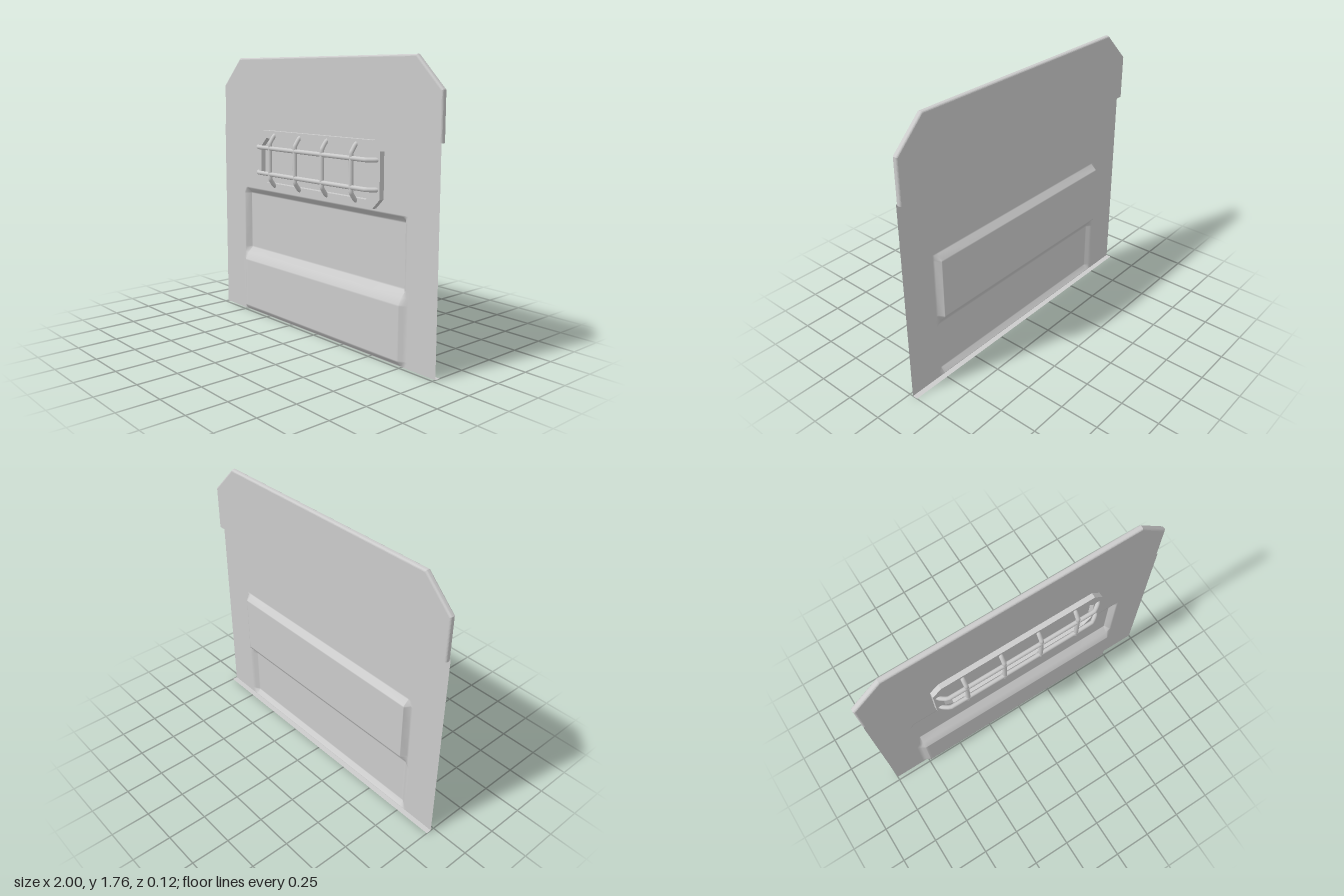
import * as THREE from 'three';

const material = new THREE.MeshStandardMaterial({ color: 0xcccccc });
const sheetMaterial = new THREE.MeshStandardMaterial({ color: 0xcccccc, side: THREE.DoubleSide });
const FRONT = -0.025; // plane of the flat sheet
const BACK = -0.06;

function addMesh(parent, name, geometry, mat = material) {
  const mesh = new THREE.Mesh(geometry, mat);
  mesh.name = name;
  parent.add(mesh);
  return mesh;
}

// Linear ramp from 0 at a to 1 at b
const ramp = (v, a, b) => THREE.MathUtils.clamp((v - a) / (b - a), 0, 1);

// Depth of the pressed sheet: a recess above, a raised field below
function sheetDepth(x, y) {
  const ax = Math.abs(x);
  const recess = Math.min(ramp(ax, 0.76, 0.74), ramp(y, 0.41, 0.445), ramp(y, 0.87, 0.84));
  const raised = Math.min(ramp(ax, 0.775, 0.735), ramp(y, 0.41, 0.37), ramp(y, 0.005, 0.03));
  return FRONT + recess * (BACK - FRONT) + raised * 0.025;
}

// Grid whose lines follow the creases of the pressing
function sheetGeometry() {
  const half = [0.25, 0.5, 0.72, 0.735, 0.74, 0.76, 0.775, 0.79, 1];
  const xs = [...half.map(v => -v).reverse(), 0, ...half];
  const ys = [0, 0.005, 0.03, 0.04, 0.2, 0.36, 0.37, 0.41, 0.445, 0.455, 0.64,
    0.83, 0.84, 0.87, 0.88, 1.1, 1.3];
  const geo = new THREE.PlaneGeometry(1, 1, xs.length - 1, ys.length - 1);
  const pos = geo.attributes.position;
  for (let j = 0; j < ys.length; j++) {
    for (let i = 0; i < xs.length; i++) {
      const y = ys[ys.length - 1 - j];
      pos.setXYZ(j * xs.length + i, xs[i], y, sheetDepth(xs[i], y));
    }
  }
  geo.computeVertexNormals();
  return geo;
}

// Rectangle with cut corners
function cutRectangle(Type, hx, y0, y1, cut) {
  return new Type([
    [-hx + cut, y0], [hx - cut, y0], [hx, y0 + cut], [hx, y1 - cut],
    [hx - cut, y1], [-hx + cut, y1], [-hx, y1 - cut], [-hx, y0 + cut],
  ].map(([x, y]) => new THREE.Vector2(x, y)));
}

// Thick upper slab with rounded rim and a square lower edge
function upperSlabGeometry() {
  const b = 0.012;
  const shape = new THREE.Shape([
    [-1 + b, 1.31], [1 - b, 1.31], [1 - b, 1.57], [0.808, 1.76 - b],
    [-0.808, 1.76 - b], [-1 + b, 1.57],
  ].map(([x, y]) => new THREE.Vector2(x, y)));
  const geo = new THREE.ExtrudeGeometry(shape, {
    depth: FRONT - BACK - 2 * b, bevelSize: b, bevelThickness: b, bevelSegments: 4,
  });
  geo.translate(0, 0, BACK + b);
  const pos = geo.attributes.position;
  for (let i = 0; i < pos.count; i++) if (pos.getY(i) < 1.32) pos.setY(i, 1.297);
  geo.computeVertexNormals();
  return geo;
}

// Round bar whose two ends bend back to the frame
function barGeometry(halfLength) {
  const side = [[halfLength, 0], [halfLength - 0.008, 0.012], [halfLength - 0.04, 0.036],
    [halfLength - 0.052, 0.043], [halfLength - 0.075, 0.044]];
  const points = [
    ...side.map(([x, z]) => new THREE.Vector3(-x, 0, z)),
    ...side.map(([x, z]) => new THREE.Vector3(x, 0, z)).reverse(),
  ];
  return new THREE.TubeGeometry(new THREE.CatmullRomCurve3(points), 64, 0.014, 10);
}

function addBar(parent, name, halfLength, x, y, vertical) {
  const bar = new THREE.Group();
  bar.name = name;
  bar.position.set(x, y, 0);
  if (vertical) bar.rotation.z = Math.PI / 2;
  addMesh(bar, name + 'Rod', barGeometry(halfLength));
  // Rounded ends
  for (const s of [-1, 1]) {
    addMesh(bar, name + 'End', new THREE.SphereGeometry(0.014, 10, 8)).position.x = s * halfLength;
  }
  parent.add(bar);
}

export function createModel() {
  const model = new THREE.Group();
  model.name = 'panel';

  addMesh(model, 'pressedSheet', sheetGeometry(), sheetMaterial);
  addMesh(model, 'upperSlab', upperSlabGeometry());

  // Lip folded back along the bottom edge
  const lip = addMesh(model, 'bottomLip', new THREE.PlaneGeometry(2, FRONT - BACK), sheetMaterial);
  lip.rotation.x = -Math.PI / 2;
  lip.position.set(0, 0, (FRONT + BACK) / 2);

  // Window frame with guard bars
  const windowGuard = new THREE.Group();
  windowGuard.name = 'windowGuard';
  model.add(windowGuard);
  const ring = cutRectangle(THREE.Shape, 0.585, 0.89, 1.285, 0.06);
  ring.holes.push(cutRectangle(THREE.Path, 0.528, 0.94, 1.235, 0.055));
  const frame = addMesh(windowGuard, 'windowFrame',
    new THREE.ExtrudeGeometry(ring, { depth: 0.033, bevelEnabled: false }));
  frame.position.z = FRONT;
  for (const y of [1.005, 1.175]) addBar(windowGuard, 'horizontalBar', 0.562, 0, y, false);
  for (const x of [-0.387, -0.129, 0.129, 0.387]) {
    addBar(windowGuard, 'verticalBar', 0.168, x, 1.09, true);
  }
  return model;
}
